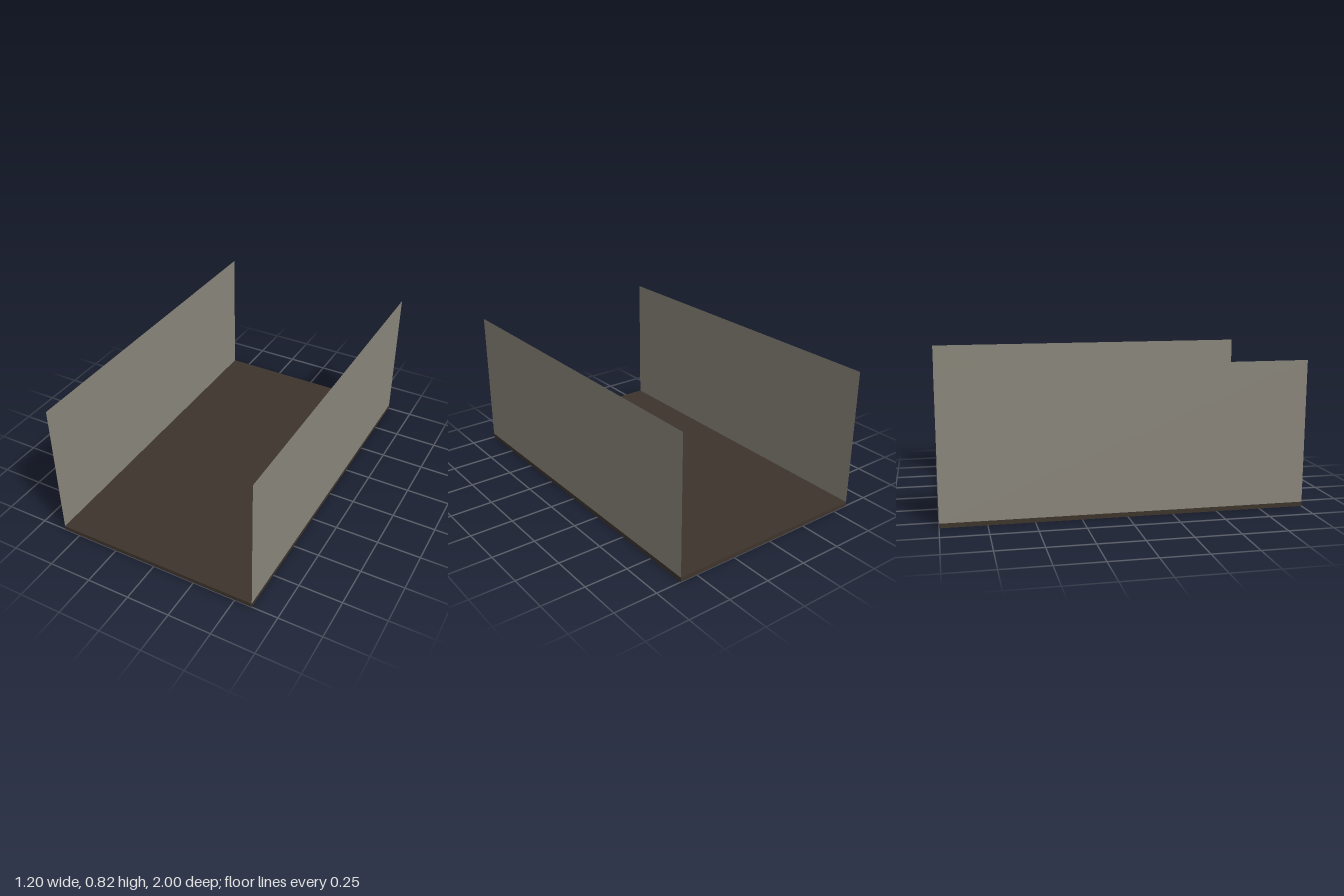
import * as THREE from 'three';

export function createModel() {
  const width = 1.2, length = 2, baseTop = 0.025, wallTop = 0.825;
  const wood = new THREE.MeshStandardMaterial({ name: 'darkWood', color: 0x3d342c });
  const panel = new THREE.MeshStandardMaterial({ name: 'greyPanel', color: 0x8a867b, side: THREE.DoubleSide });
  const model = new THREE.Group();
  model.name = 'channel';

  const add = (name, geometry, material) => {
    const mesh = new THREE.Mesh(geometry, material);
    mesh.name = name;
    model.add(mesh);
    return mesh;
  };

  // Floor slab: wooden top and edges, grey underside (box face order: +x -x +y -y +z -z)
  const slab = new THREE.BoxGeometry(width, baseTop, length).translate(0, baseTop / 2, 0);
  add('floor', slab, [wood, wood, wood, panel, wood, wood]);

  // Thin upright side walls standing on the slab's long edges
  const height = wallTop - baseTop;
  for (const side of [-1, 1]) {
    const wall = add(side > 0 ? 'leftWall' : 'rightWall', new THREE.PlaneGeometry(length, height), panel);
    wall.rotation.y = side * Math.PI / 2;
    wall.position.set(side * width / 2, baseTop + height / 2, 0);
  }
  return model;
}
